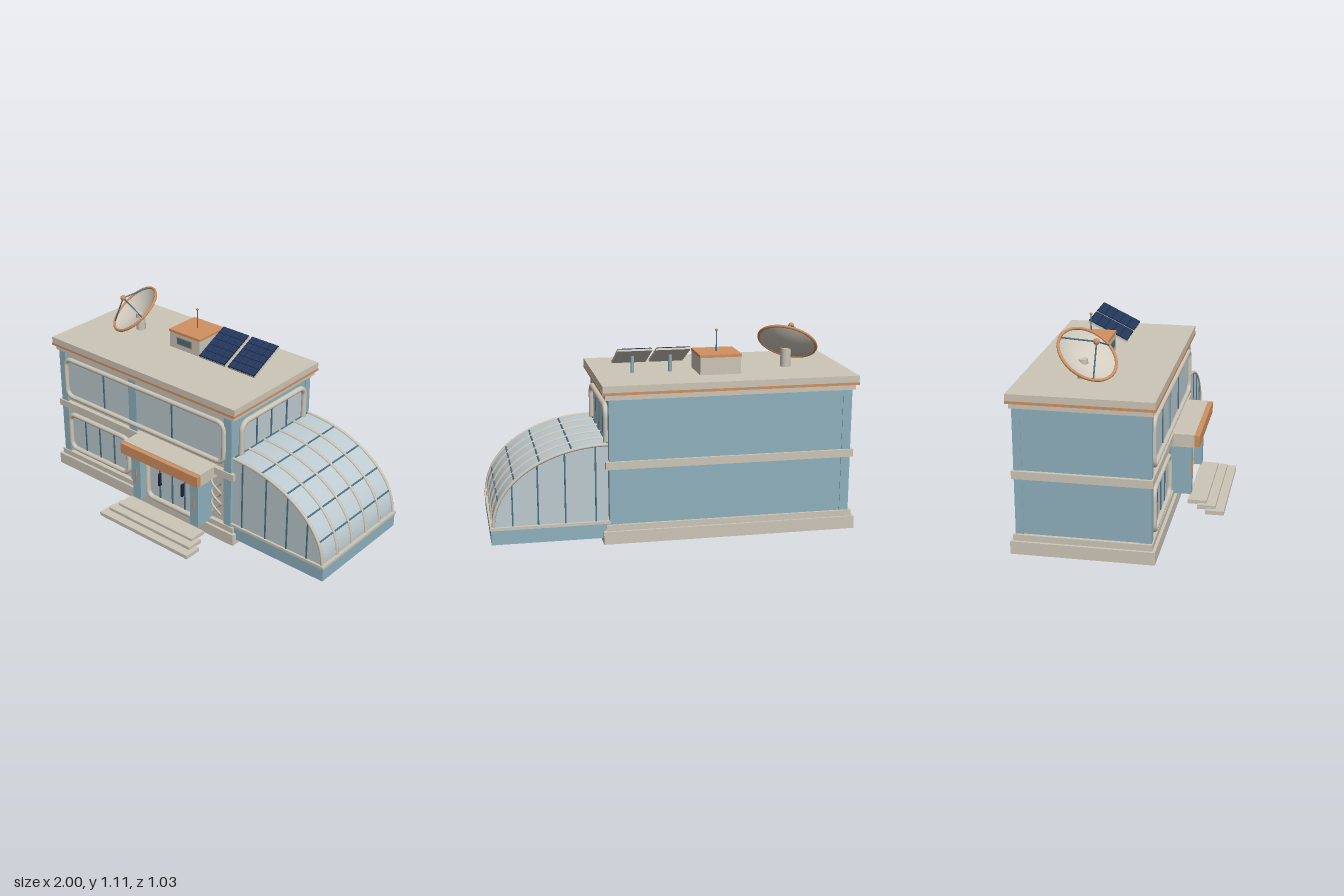
import * as THREE from 'three';

const mat = (name, color) => Object.assign(new THREE.MeshStandardMaterial({ color }), { name });

export function createModel() {
  const root = new THREE.Group();
  const stone = mat('warm stone', 0xcdc6b8);
  const blue = mat('wall blue', 0x8fb1be);
  const copper = mat('copper', 0xd0905f);
  const glass = mat('glass', 0xbdcbd0);
  const steel = mat('blue steel', 0x4c7182);
  const navy = mat('solar navy', 0x24395f);
  const dark = mat('dark navy', 0x18253c);
  const dishMat = mat('dish shell', 0xd2ccc0);
  dishMat.side = THREE.DoubleSide;

  const add = (name, geo, m, parent = root) => {
    const mesh = new THREE.Mesh(geo, m);
    mesh.name = name;
    parent.add(mesh);
    return mesh;
  };
  // Box given by its limits on each axis
  const box = (name, m, x0, x1, y0, y1, z0, z1, parent = root) => {
    const b = add(name, new THREE.BoxGeometry(x1 - x0, y1 - y0, z1 - z0), m, parent);
    b.position.set((x0 + x1) / 2, (y0 + y1) / 2, (z0 + z1) / 2);
    return b;
  };
  const rod = (name, m, a, b, r, parent = root) => {
    const d = b.clone().sub(a);
    const c = add(name, new THREE.CylinderGeometry(r, r, d.length(), 10), m, parent);
    c.position.copy(a).add(b).multiplyScalar(0.5);
    c.quaternion.setFromUnitVectors(new THREE.Vector3(0, 1, 0), d.normalize());
    return c;
  };
  const V = (x, y, z) => new THREE.Vector3(x, y, z);

  // Rounded window in the XY plane: pane, tubular frame and mullions
  const roundedWindow = (name, x0, x1, y0, y1, corner, r, mullions) => {
    const g = new THREE.Group();
    g.name = name;
    const s = new THREE.Shape();
    s.moveTo(x0 + corner, y0);
    s.lineTo(x1 - corner, y0);
    s.absarc(x1 - corner, y0 + corner, corner, -Math.PI / 2, 0);
    s.lineTo(x1, y1 - corner);
    s.absarc(x1 - corner, y1 - corner, corner, 0, Math.PI / 2);
    s.lineTo(x0 + corner, y1);
    s.absarc(x0 + corner, y1 - corner, corner, Math.PI / 2, Math.PI);
    s.lineTo(x0, y0 + corner);
    s.absarc(x0 + corner, y0 + corner, corner, Math.PI, Math.PI * 1.5);
    add('pane', new THREE.ShapeGeometry(s), glass, g);
    const pts = s.getSpacedPoints(120).slice(0, -1).map(p => V(p.x, p.y, 0.008));
    const path = new THREE.CatmullRomCurve3(pts, true);
    add('frame', new THREE.TubeGeometry(path, 160, r, 12, true), stone, g);
    for (const x of mullions) box('mullion', steel, x - 0.004, x + 0.004, y0, y1, 0, 0.006, g);
    root.add(g);
    return g;
  };

  // Plinth, walls, floor band and roof
  box('plinth', stone, -1, 0.4, 0, 0.07, -0.51, 0.242);
  box('plinthStep', stone, -0.985, 0.385, 0.07, 0.103, -0.497, 0.226);
  box('walls', blue, -0.965, 0.36, 0.1, 0.8, -0.483, 0.19);
  box('frontFacing', stone, -0.93, 0.32, 0.1, 0.8, 0.19, 0.2);
  box('cornice', stone, -0.985, 0.385, 0.788, 0.817, -0.497, 0.228);
  box('roofTrim', copper, -1.002, 0.402, 0.817, 0.831, -0.512, 0.245);
  box('roof', stone, -1, 0.4, 0.831, 0.867, -0.51, 0.242);
  box('floorBand', stone, -0.985, 0.385, 0.411, 0.453, -0.497, 0.228);
  for (const [x0, x1] of [[-0.97, -0.92], [0.313, 0.365]]) {
    box('frontCornerPillar', blue, x0, x1, 0.1, 0.79, 0.16, 0.22);
    box('backCornerPillar', blue, x0, x1, 0.1, 0.79, -0.487, -0.445);
  }
  box('middlePillar', blue, -0.405, -0.345, 0.1, 0.79, 0.19, 0.217);
  box('entranceSidePanel', blue, -0.345, -0.285, 0.15, 0.37, 0.19, 0.208);
  box('sideTrimBar', copper, 0.36, 0.37, 0.777, 0.783, -0.17, -0.067);

  // Windows
  roundedWindow('upperWindow', -0.917, 0.312, 0.498, 0.745, 0.045, 0.014, [-0.607, -0.072]).position.z = 0.212;
  roundedWindow('lowerWindow', -0.905, -0.415, 0.14, 0.375, 0.045, 0.015, [-0.78, -0.66, -0.54]).position.z = 0.212;
  const side = roundedWindow('sideWindow', -0.14, 0.425, 0.49, 0.737, 0.05, 0.016, [0, 0.13, 0.27]);
  side.rotation.y = Math.PI / 2;
  side.position.x = 0.363;

  // Twisted ornament beside the entrance
  for (const phase of [0, Math.PI]) {
    const pts = Array.from({ length: 25 }, (_, i) => {
      const a = phase + (i / 24) * Math.PI * 3;
      return V(0.255 + 0.032 * Math.cos(a), 0.15 + 0.21 * i / 24, 0.214 + 0.01 * Math.sin(a));
    });
    add('twistedOrnament', new THREE.TubeGeometry(new THREE.CatmullRomCurve3(pts), 48, 0.006, 8), stone);
  }

  // Entrance porch
  for (const [x0, x1, h] of [[-0.285, -0.225, -0.258], [0.155, 0.215, 0.183]]) {
    box('porchPillar', blue, x0, x1, 0.088, 0.385, 0.19, 0.324);
    box('pillarTrim', copper, h - 0.005, h + 0.005, 0.195, 0.295, 0.322, 0.329);
  }
  box('porchCore', blue, -0.226, 0.156, 0.088, 0.385, 0.19, 0.25);
  roundedWindow('entranceDoors', -0.222, 0.152, 0.092, 0.385, 0.045, 0.016, [-0.13, -0.035, 0.06]).position.z = 0.256;
  for (const x of [-0.122, 0.052])
    box('doorHandle', dark, x - 0.005, x + 0.005, 0.2, 0.28, 0.26, 0.28);
  box('canopy', stone, -0.325, 0.25, 0.382, 0.456, 0.19, 0.345);
  box('canopyFascia', copper, -0.327, 0.252, 0.388, 0.451, 0.345, 0.373);

  // Steps
  box('bottomStep', stone, -0.372, 0.3, 0.012, 0.035, 0.414, 0.517);
  box('middleStep', stone, -0.345, 0.273, 0.029, 0.053, 0.365, 0.467);
  box('topStep', stone, -0.318, 0.246, 0.046, 0.069, 0.31, 0.415);

  // Conservatory: quarter-ellipse glass vault
  box('conservatoryBase', blue, 0.36, 0.995, 0.03, 0.11, -0.484, 0.214);
  box('conservatorySill', stone, 0.36, 1, 0.11, 0.125, -0.49, 0.22);
  const cx = 0.37, cy = 0.125, a = 0.612, b = 0.42;
  const vault = new THREE.Shape();
  vault.moveTo(cx, cy);
  vault.absellipse(cx, cy, a, b, 0, Math.PI / 2);
  vault.lineTo(cx, cy);
  const vaultGeo = new THREE.ExtrudeGeometry(vault, { depth: 0.68, bevelEnabled: false, curveSegments: 40 });
  add('vaultGlass', vaultGeo, glass).position.z = -0.473;
  const arc = t => [cx + a * Math.sin(t), cy + b * Math.cos(t)];
  for (let i = 0; i < 6; i++) {
    const z = 0.207 - i * 0.136;
    const pts = Array.from({ length: 19 }, (_, k) => V(...arc(k / 18 * Math.PI / 2), z));
    add('vaultRib', new THREE.TubeGeometry(new THREE.CatmullRomCurve3(pts), 40, 0.009, 8), stone);
  }
  for (let i = 0; i < 5; i++) {
    const [x, y] = arc(i * Math.PI / 10);
    rod('vaultPurlin', steel, V(x, y, -0.473), V(x, y, 0.207), 0.005);
  }
  for (const x of [0.437, 0.6, 0.745, 0.88]) {
    const top = cy + b * Math.sqrt(1 - ((x - cx) / a) ** 2);
    for (const z of [0.207, -0.473])
      box('vaultMullion', steel, x - 0.004, x + 0.004, cy, top, z - 0.005, z + 0.005);
  }

  // Rooftop cabin with mast
  box('cabin', stone, -0.385, -0.158, 0.867, 0.962, -0.336, -0.123);
  box('cabinRoof', copper, -0.388, -0.155, 0.962, 0.977, -0.342, -0.12);
  box('cabinWindowFrame', copper, -0.329, -0.213, 0.897, 0.946, -0.125, -0.119);
  box('cabinWindow', steel, -0.323, -0.219, 0.903, 0.94, -0.12, -0.116);
  rod('mast', steel, V(-0.27, 0.975, -0.235), V(-0.27, 1.09, -0.235), 0.003);
  add('mastTip', new THREE.SphereGeometry(0.008, 12, 8), copper).position.set(-0.27, 1.094, -0.235);

  // Solar panels
  for (const x of [-0.02, 0.19]) {
    const panel = new THREE.Group();
    panel.name = 'solarPanel';
    panel.position.set(x, 0.958, -0.178);
    panel.rotation.x = 0.455;
    box('panelFrame', stone, -0.095, 0.095, -0.008, 0.003, -0.121, 0.121, panel);
    box('panelBacking', dark, -0.094, 0.094, 0.003, 0.006, -0.12, 0.12, panel);
    for (let i = 0; i < 4; i++) for (let j = 0; j < 5; j++) {
      const u = -0.092 + i * 0.046, w = -0.118 + j * 0.0472;
      box('solarCell', navy, u + 0.002, u + 0.044, 0.006, 0.009, w + 0.002, w + 0.045, panel);
    }
    root.add(panel);
    rod('panelLeg', blue, V(x, 0.867, -0.198), V(x, 0.96, -0.198), 0.01);
  }

  // Satellite dish, opening along local +y
  const dish = new THREE.Group();
  dish.name = 'satelliteDish';
  dish.position.set(-0.697, 1.0, -0.158);
  dish.quaternion.setFromUnitVectors(V(0, 1, 0), V(-0.37, 0.76, 0.54).normalize());
  const R = 0.163, depth = 0.05;
  const bowl = Array.from({ length: 13 }, (_, i) => new THREE.Vector2(R * i / 12, depth * ((i / 12) ** 2 - 1)));
  add('bowl', new THREE.LatheGeometry(bowl, 40), dishMat, dish);
  add('rim', new THREE.TorusGeometry(R, 0.008, 8, 48), copper, dish).rotation.x = Math.PI / 2;
  for (let i = 0; i < 3; i++) {
    const t = i * Math.PI * 2 / 3 + 0.5;
    rod('feedStrut', steel, V(R * Math.cos(t), 0, R * Math.sin(t)), V(0, 0.105, 0), 0.004, dish);
  }
  add('feed', new THREE.SphereGeometry(0.017, 16, 12), copper, dish).position.y = 0.105;
  root.add(dish);
  rod('dishPost', stone, V(-0.68, 0.867, -0.188), V(-0.68, 0.97, -0.188), 0.029);

  return root;
}
